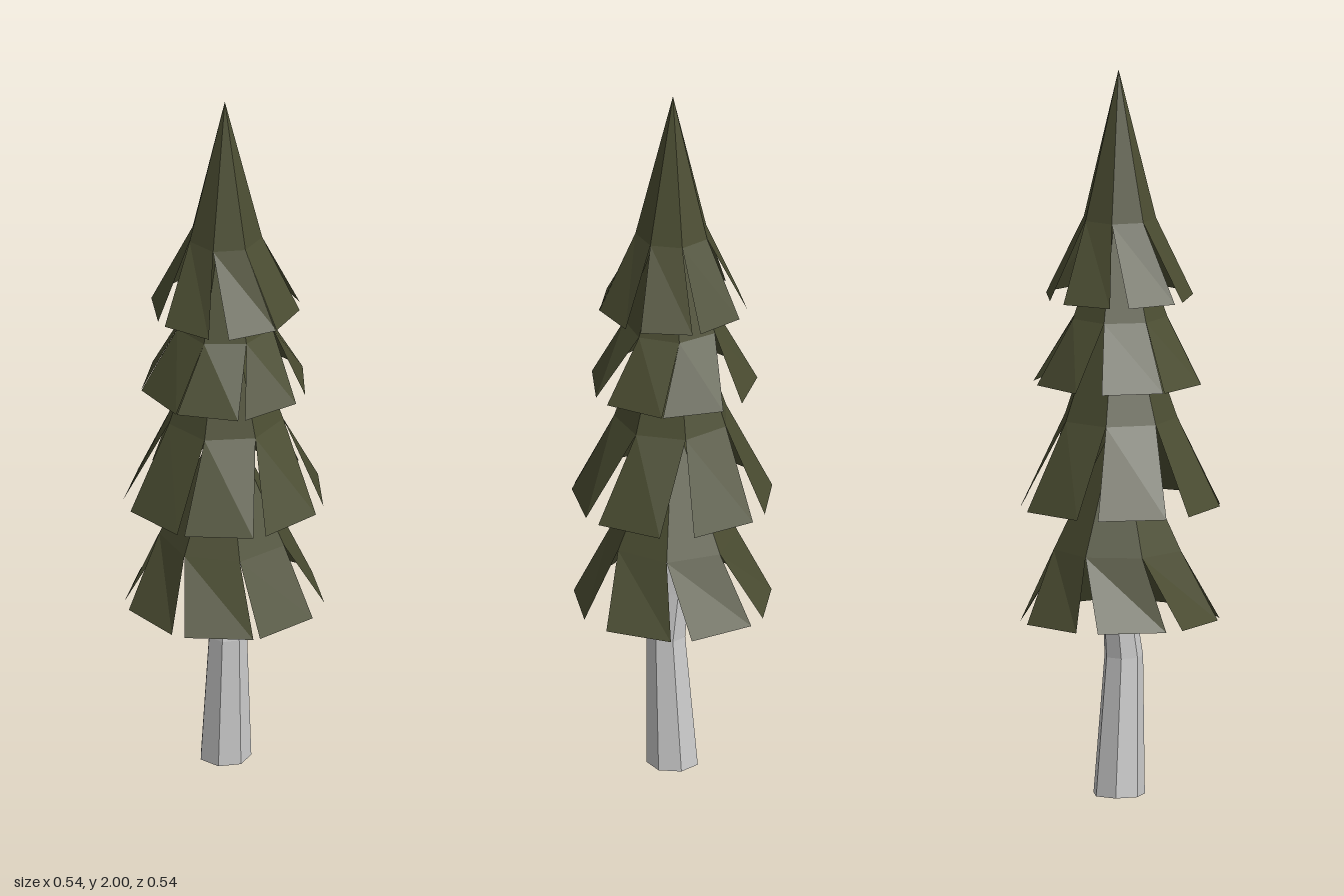
import * as THREE from 'three';

const RAD = Math.PI / 180;
const foliage = new THREE.MeshStandardMaterial({ color: 0x4b4d32, flatShading: true, side: THREE.DoubleSide });
const bark = new THREE.MeshStandardMaterial({ color: 0xcccccc, flatShading: true });

const polar = (deg, r, y) => new THREE.Vector3(r * Math.cos(deg * RAD), y, r * Math.sin(deg * RAD));

// Four tiers, top to bottom: a seven-sided cone above, a skirt of splayed boughs below.
// phase: angle of the first cone face; boughs: angle of each bough's rim, half: half its width
const TIERS = [
  { name: 'topTier', apex: 2, midY: 1.59, midR: 0.102, rimY: 1.375, rimR: 0.192, half: 0.071,
    phase: 17, boughs: [11, 65, 104, 160, 210, 265, 324] },
  { name: 'upperTier', apex: 1.71, midY: 1.32, midR: 0.133, rimY: 1.14, rimR: 0.215, half: 0.085,
    phase: 24, boughs: [35, 92, 140, 184, 228, 290, 351] },
  { name: 'middleTier', apex: 1.5, midY: 1.04, midR: 0.16, rimY: 0.8, rimR: 0.261, half: 0.094,
    phase: 19, boughs: [33, 84, 131, 175, 230, 282, 334] },
  { name: 'lowerTier', apex: 1.05, midY: 0.68, midR: 0.178, rimY: 0.488, rimR: 0.258, half: 0.094,
    phase: 37, boughs: [27, 87, 131, 179, 230, 283, 335] },
];

function tier(t) {
  const points = [];
  const step = 360 / t.boughs.length;
  const apex = new THREE.Vector3(0, t.apex, 0);
  t.boughs.forEach((angle, i) => {
    const centre = t.phase + i * step;
    const midA = polar(centre - step / 2, t.midR, t.midY);
    const midB = polar(centre + step / 2, t.midR, t.midY);
    // straight rim edge, square to the bough's own direction
    const rim = polar(angle, t.rimR, t.rimY);
    const across = polar(angle + 90, t.half, 0);
    const rimA = rim.clone().sub(across);
    const rimB = rim.clone().add(across);
    points.push(apex, midB, midA, midB, rimB, rimA, midB, rimA, midA);
  });
  const geometry = new THREE.BufferGeometry().setFromPoints(points);
  geometry.computeVertexNormals();
  const mesh = new THREE.Mesh(geometry, foliage);
  mesh.name = t.name;
  return mesh;
}

// Slightly bent, tapering seven-sided trunk
function trunk() {
  const rings = [ // y, radius, x, z
    [0, 0.072, 0, 0],
    [0.38, 0.054, -0.005, 0.017],
    [0.52, 0.046, 0, 0],
    [1.0, 0.032, 0, 0],
    [1.5, 0.018, 0, 0],
  ];
  const geometry = new THREE.CylinderGeometry(1, 1, rings.length - 1, 7, rings.length - 1);
  const p = geometry.attributes.position;
  for (let i = 0; i < p.count; i++) {
    const [y, r, x, z] = rings[Math.round(p.getY(i) + (rings.length - 1) / 2)];
    p.setXYZ(i, p.getX(i) * r + x, y, p.getZ(i) * r + z);
  }
  geometry.computeVertexNormals();
  const mesh = new THREE.Mesh(geometry, bark);
  mesh.name = 'trunk';
  return mesh;
}

export function createModel() {
  const group = new THREE.Group();
  group.name = 'coniferTree';
  group.add(trunk(), ...TIERS.map(tier));
  return group;
}
